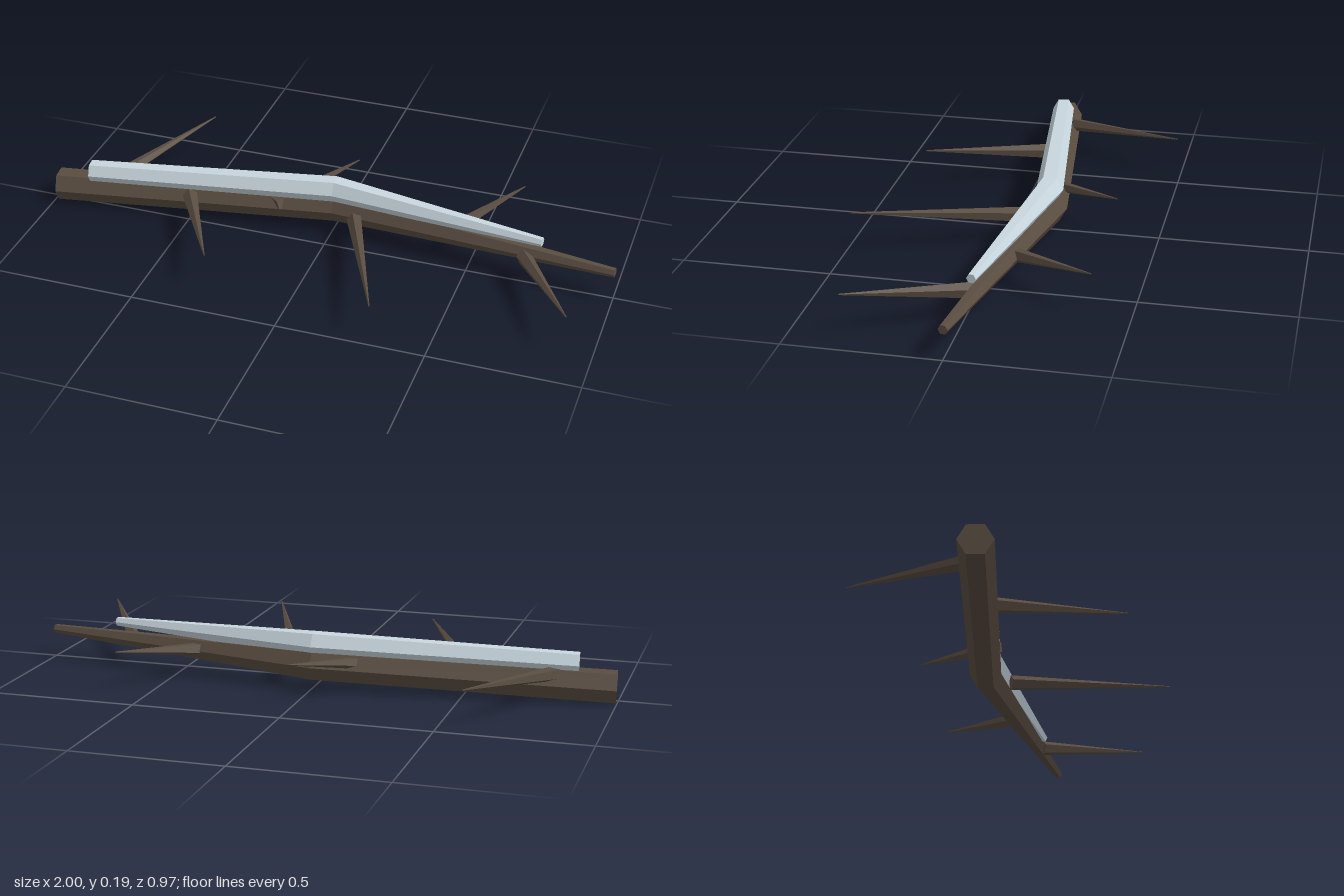
import * as THREE from 'three';

const V = (x, y, z) => new THREE.Vector3(x, y, z);

// Faceted limb through a list of [x, y, z, radius] stations, capped at both ends.
function limb(stations, sides) {
  const centers = stations.map(([x, y, z]) => V(x, y, z));
  const last = centers.length - 1;
  const rings = centers.map((c, i) => {
    const before = centers[Math.max(i - 1, 0)];
    const after = centers[Math.min(i + 1, last)];
    const along = after.clone().sub(before).normalize();
    const side = along.clone().cross(V(0, 1, 0)).normalize();
    const up = side.clone().cross(along);
    return Array.from({ length: sides }, (_, k) => {
      const a = (k / sides) * Math.PI * 2;
      return c.clone()
        .addScaledVector(side, Math.cos(a) * stations[i][3])
        .addScaledVector(up, Math.sin(a) * stations[i][3]);
    });
  });
  const points = [];
  for (let k = 0; k < sides; k++) {
    const n = (k + 1) % sides;
    for (let i = 0; i < last; i++) {
      const [a, b, c, d] = [rings[i][k], rings[i][n], rings[i + 1][n], rings[i + 1][k]];
      points.push(a, c, b, a, d, c);
    }
    points.push(centers[0], rings[0][k], rings[0][n]);
    points.push(centers[last], rings[last][n], rings[last][k]);
  }
  // Side and up form a left-handed ring around the axis, so reverse every face.
  for (let i = 0; i < points.length; i += 3) {
    const [a, b, c] = points.slice(i, i + 3);
    const normal = b.clone().sub(a).cross(c.clone().sub(a));
    const middle = a.clone().add(b).add(c).divideScalar(3);
    const nearest = centers.reduce((best, p, j) => {
      if (j === last) return best;
      const q = new THREE.Line3(p, centers[j + 1]).closestPointToPoint(middle, true, V(0, 0, 0));
      return !best || q.distanceTo(middle) < best.distanceTo(middle) ? q : best;
    }, null);
    const outward = middle.clone().sub(nearest);
    // End caps lie on the axis end, so use the axis direction there.
    if (a === centers[0]) outward.copy(centers[0]).sub(centers[1]);
    if (a === centers[last]) outward.copy(centers[last]).sub(centers[last - 1]);
    if (normal.dot(outward) < 0) [points[i + 1], points[i + 2]] = [c, b];
  }
  const geometry = new THREE.BufferGeometry().setFromPoints(points);
  geometry.computeVertexNormals();
  return geometry;
}

export function createModel() {
  const model = new THREE.Group();
  model.name = 'snowyBranch';

  const bark = new THREE.MeshStandardMaterial({ color: 0x5a4d41, flatShading: true });
  bark.name = 'bark';
  const snow = new THREE.MeshStandardMaterial({ color: 0xc8d6de, flatShading: true });
  snow.name = 'snow';

  const add = (name, geometry, material) => {
    const mesh = new THREE.Mesh(geometry, material);
    mesh.name = name;
    model.add(mesh);
    return mesh;
  };

  // Main bough, bent in the middle and thinner towards +x
  add('bough', limb([
    [-0.994, 0.051, -0.003, 0.056],
    [0, 0.082, -0.13, 0.054],
    [0.998, 0.102, -0.001, 0.016],
  ], 6), bark);

  // Snow lying along the top of the bough
  add('snowCap', limb([
    [-0.87, 0.122, -0.01, 0.039],
    [0, 0.15, -0.124, 0.046],
    [0.748, 0.152, -0.027, 0.016],
  ], 6), snow);

  // Pointed twigs: base x, base z, tip x, tip z
  const twigs = [
    [-0.805, -0.02, -0.585, -0.484],
    [-0.5, -0.02, -0.285, 0.381],
    [-0.2, -0.06, 0.012, -0.357],
    [0.09, -0.055, 0.31, 0.481],
    [0.4, -0.06, 0.61, -0.371],
    [0.69, -0.02, 0.907, 0.341],
  ];
  twigs.forEach(([bx, bz, tx, tz], i) => {
    const base = V(bx, 0.087, bz);
    const axis = V(tx, 0.138, tz).sub(base);
    const twig = add(`twig${i + 1}`, new THREE.CylinderGeometry(0.002, 0.027, axis.length(), 5), bark);
    twig.position.copy(base).addScaledVector(axis, 0.5);
    twig.quaternion.setFromUnitVectors(V(0, 1, 0), axis.normalize());
  });

  return model;
}
